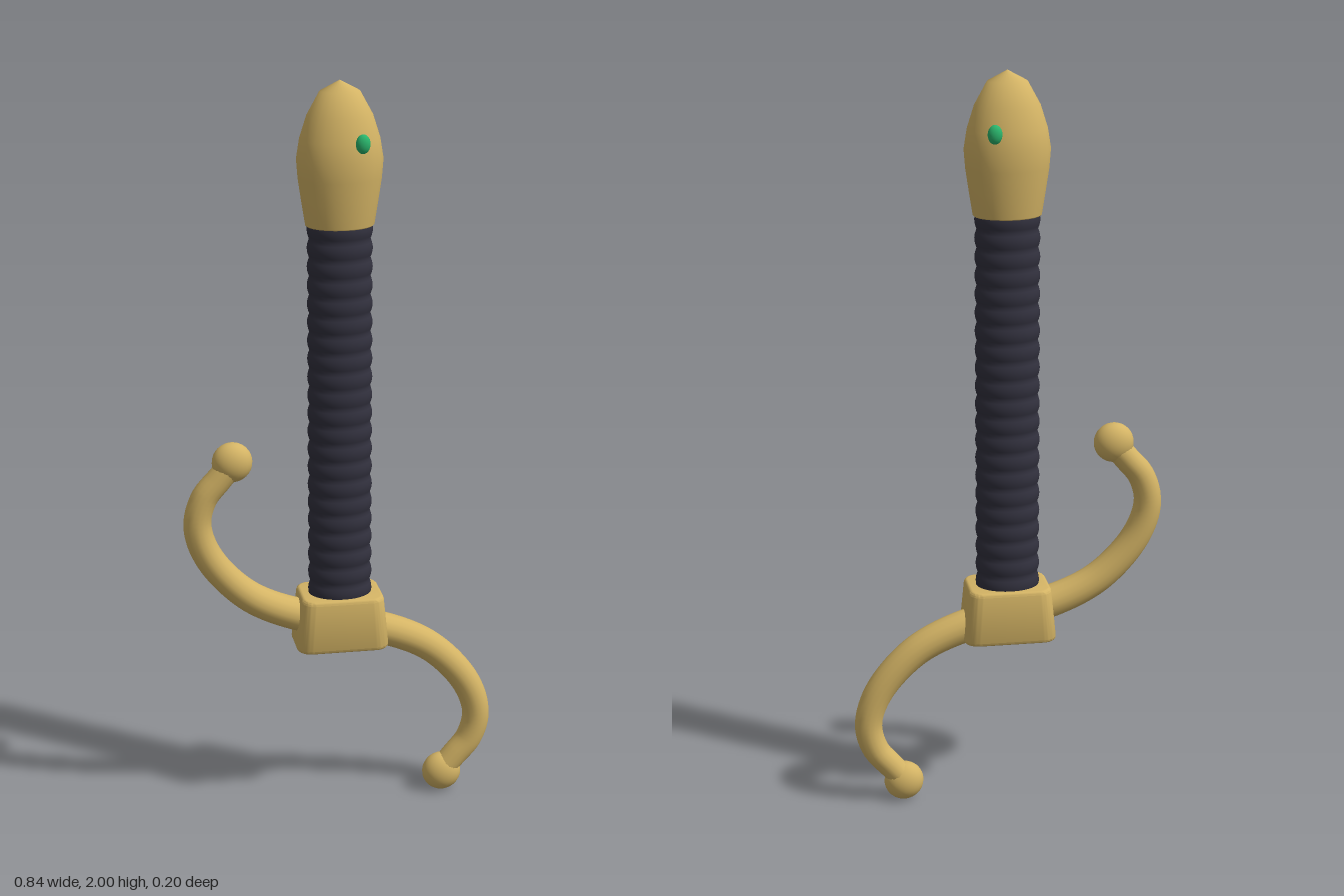
import * as THREE from 'three';
import { toCreasedNormals } from 'three/addons/utils/BufferGeometryUtils.js';

const gold = new THREE.MeshStandardMaterial({ color: 0xd4b465 });
gold.name = 'gold';
const wrap = new THREE.MeshStandardMaterial({ color: 0x32313e });
wrap.name = 'dark wrap';
const emerald = new THREE.MeshStandardMaterial({ color: 0x2ab56c });
emerald.name = 'emerald';

function add(parent, name, geometry, material) {
  const mesh = new THREE.Mesh(geometry, material);
  mesh.name = name;
  parent.add(mesh);
  return mesh;
}

// Turned profile flattened to an oval section
function ovalLathe(points, segments, depth) {
  const profile = points.map(([r, y]) => new THREE.Vector2(r, y));
  return new THREE.LatheGeometry(profile, segments).scale(1, 1, depth);
}

// Tube whose radius shrinks along its path
function taperedTube(path, r0, r1, steps, sides) {
  const geo = new THREE.TubeGeometry(path, steps, r0, sides);
  const pos = geo.attributes.position;
  const v = new THREE.Vector3();
  for (let i = 0; i <= steps; i++) {
    const c = path.getPointAt(i / steps);
    const k = THREE.MathUtils.lerp(1, r1 / r0, i / steps);
    for (let j = 0; j <= sides; j++) {
      const n = i * (sides + 1) + j;
      v.fromBufferAttribute(pos, n).sub(c).multiplyScalar(k).add(c);
      pos.setXYZ(n, v.x, v.y, v.z);
    }
  }
  return geo;
}

// Rounded guard block, narrower at the top
function blockGeometry(halfX, halfZ, height) {
  const bevel = 0.01, r = 0.03;
  const x = halfX - bevel, z = halfZ - bevel;
  const s = new THREE.Shape();
  s.absarc(x - r, z - r, r, 0, Math.PI / 2);
  s.absarc(-x + r, z - r, r, Math.PI / 2, Math.PI);
  s.absarc(-x + r, -z + r, r, Math.PI, Math.PI * 1.5);
  s.absarc(x - r, -z + r, r, Math.PI * 1.5, Math.PI * 2);
  const geo = new THREE.ExtrudeGeometry(s, {
    depth: height - 2 * bevel, bevelSize: bevel, bevelThickness: bevel, bevelSegments: 3, curveSegments: 6,
  });
  geo.rotateX(-Math.PI / 2).translate(0, bevel, 0);
  const pos = geo.attributes.position;
  for (let i = 0; i < pos.count; i++) {
    pos.setX(i, pos.getX(i) * (1 - 0.12 * pos.getY(i) / height));
  }
  return toCreasedNormals(geo, 0.6);
}

export function createModel() {
  const model = new THREE.Group();
  model.name = 'hilt';

  // Pommel
  add(model, 'pommel', ovalLathe([
    [0, 1.625], [0.087, 1.625], [0.09, 1.628], [0.1, 1.69], [0.109, 1.75], [0.113, 1.8],
    [0.105, 1.85], [0.086, 1.91], [0.052, 1.972], [0, 2],
  ], 24, 0.79), gold);

  // Eyes on both faces of the pommel
  for (const side of [1, -1]) {
    const eye = add(model, 'eye', new THREE.SphereGeometry(1, 16, 12), emerald);
    eye.scale.set(0.019, 0.025, 0.014);
    eye.position.set(0.045, 1.85, side * 0.084);
  }

  // Ribbed grip
  const ribs = 21, perRib = 6, y0 = 0.6, y1 = 1.64;
  const grip = [];
  for (let i = 0; i <= ribs * perRib; i++) {
    const t = i / perRib;
    grip.push([0.08 + 0.006 * Math.abs(Math.sin(t * Math.PI)), y0 + (y1 - y0) * t / ribs]);
  }
  add(model, 'grip', ovalLathe(grip, 32, 0.81), wrap);

  // Guard block
  const block = add(model, 'guardBlock', blockGeometry(0.126, 0.084, 0.15), gold);
  block.position.y = 0.465;

  // S-shaped guard: one arm curls up, the other is the same arm turned half round
  const path = new THREE.CatmullRomCurve3([
    [-0.03, 0.54], [-0.12, 0.556], [-0.25, 0.618], [-0.352, 0.73],
    [-0.383, 0.825], [-0.365, 0.9], [-0.325, 0.95], [-0.29, 0.99],
  ].map(([x, y]) => new THREE.Vector3(x, y, 0)));
  const tube = taperedTube(path, 0.046, 0.034, 48, 16);
  const ball = new THREE.SphereGeometry(0.054, 24, 16).scale(1, 1, 0.76);
  for (const [name, turn] of [['rightGuardArm', 0], ['leftGuardArm', Math.PI]]) {
    const arm = new THREE.Group();
    arm.name = name;
    add(arm, 'guardArm', tube, gold).position.y = -0.526;
    add(arm, 'guardTip', ball, gold).position.set(-0.288, 0.472, 0);
    arm.position.y = 0.526;
    arm.rotation.z = turn;
    model.add(arm);
  }

  return model;
}
